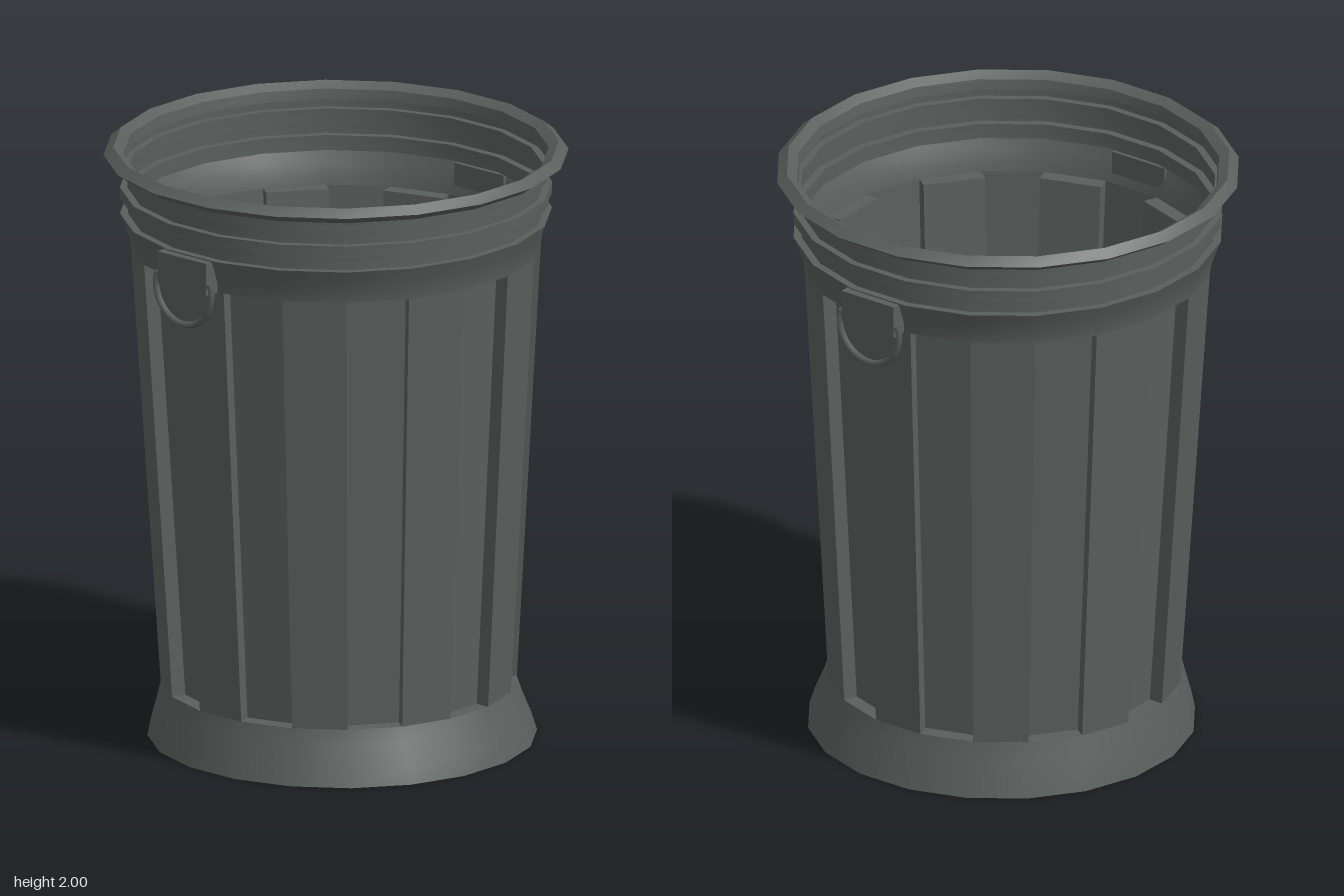
import * as THREE from 'three';
import { toCreasedNormals } from 'three/addons/utils/BufferGeometryUtils.js';

const SIDES = 20;
const STEP = (Math.PI * 2) / SIDES;
const metal = new THREE.MeshStandardMaterial({ color: 0x5a5f5d, side: THREE.DoubleSide });

// Profile rows are [radius, height, sideways lean of the ring centre]
const ringPoint = ([r, y, lean = 0], i) =>
  new THREE.Vector3(lean + r * Math.cos(i * STEP), y, r * Math.sin(i * STEP));

// Corners run anticlockwise seen from outside
function quad(out, a, b, c, d) {
  for (const p of [a, b, c, a, c, d]) out.push(p.x, p.y, p.z);
}

function makeMesh(name, positions) {
  const geometry = new THREE.BufferGeometry();
  geometry.setAttribute('position', new THREE.Float32BufferAttribute(positions, 3));
  const mesh = new THREE.Mesh(toCreasedNormals(geometry, THREE.MathUtils.degToRad(42)), metal);
  mesh.name = name;
  return mesh;
}

// Plain faceted shell following a profile from bottom to top
function shell(name, profile) {
  const out = [];
  for (let k = 0; k < profile.length - 1; k++) {
    for (let i = 0; i < SIDES; i++) {
      const lo = profile[k], hi = profile[k + 1];
      quad(out, ringPoint(lo, i + 1), ringPoint(lo, i), ringPoint(hi, i), ringPoint(hi, i + 1));
    }
  }
  return makeMesh(name, out);
}

// Tapered wall: every second panel is pushed straight inwards
function flutedWall(bottom, top, depth) {
  const out = [];
  for (let i = 0; i < SIDES; i++) {
    const outer = [ringPoint(bottom, i + 1), ringPoint(bottom, i), ringPoint(top, i), ringPoint(top, i + 1)];
    if (i % 2) {
      quad(out, ...outer);
      continue;
    }
    const mid = (i + 0.5) * STEP;
    const push = new THREE.Vector3(-Math.cos(mid), 0, -Math.sin(mid)).multiplyScalar(depth);
    const inner = outer.map((p) => p.clone().add(push));
    quad(out, ...inner);
    for (let k = 0; k < 4; k++) {
      const n = (k + 1) % 4;
      quad(out, outer[k], outer[n], inner[n], inner[k]);
    }
  }
  return makeMesh('flutedWall', out);
}

// Mounting plate with a hanging D-shaped ring
function handle(name, angle) {
  const group = new THREE.Group();
  group.name = name;
  const add = (part, geometry, x, y, z) => {
    const mesh = new THREE.Mesh(geometry, metal);
    mesh.name = part;
    mesh.position.set(x, y, z);
    group.add(mesh);
  };
  const x = -0.025;
  add('handlePlate', new THREE.BoxGeometry(0.215, 0.11, 0.055), x, 1.715, 0.695);
  const start = THREE.MathUtils.degToRad(165);
  const arc = THREE.MathUtils.degToRad(210);
  add('handleRing', new THREE.TorusGeometry(0.122, 0.011, 6, 20, arc).rotateZ(start), x, 1.662, 0.712);
  add('handleBar', new THREE.CylinderGeometry(0.011, 0.011, 0.24, 6).rotateZ(Math.PI / 2), x, 1.693, 0.712);
  group.rotation.y = angle;
  return group;
}

export function createModel() {
  const can = new THREE.Group();
  can.name = 'trashCan';

  const base = [0.637, 0, 0.024];
  const wallBottom = [0.582, 0.18, 0.011];
  const wallTop = [0.67, 1.66, 0];

  // Floor and flared foot
  const floor = new THREE.Mesh(new THREE.CircleGeometry(base[0], SIDES).rotateX(Math.PI / 2), metal);
  floor.name = 'floor';
  floor.position.x = base[2];
  can.add(floor);
  can.add(shell('foot', [base, [0.621, 0.06, 0.02], [0.597, 0.13, 0.014], wallBottom]));

  can.add(flutedWall(wallBottom, wallTop, 0.05));

  // Flared collar, ribbed neck and rolled rim
  can.add(shell('collar', [wallTop, [0.675, 1.69], [0.69, 1.735], [0.706, 1.775], [0.68, 1.775]]));
  can.add(shell('neck', [
    [0.68, 1.775], [0.68, 1.826], [0.706, 1.826], [0.706, 1.863],
    [0.682, 1.863], [0.682, 1.916], [0.706, 1.916], [0.706, 1.945],
  ]));
  can.add(shell('rim', [[0.706, 1.945], [0.722, 1.948], [0.76, 1.974], [0.728, 2], [0.695, 1.98], [0.69, 1.945]]));

  // Handles on the front and back, half a turn apart
  const turn = -STEP / 2;
  can.add(handle('frontHandle', turn), handle('backHandle', turn + Math.PI));
  return can;
}
